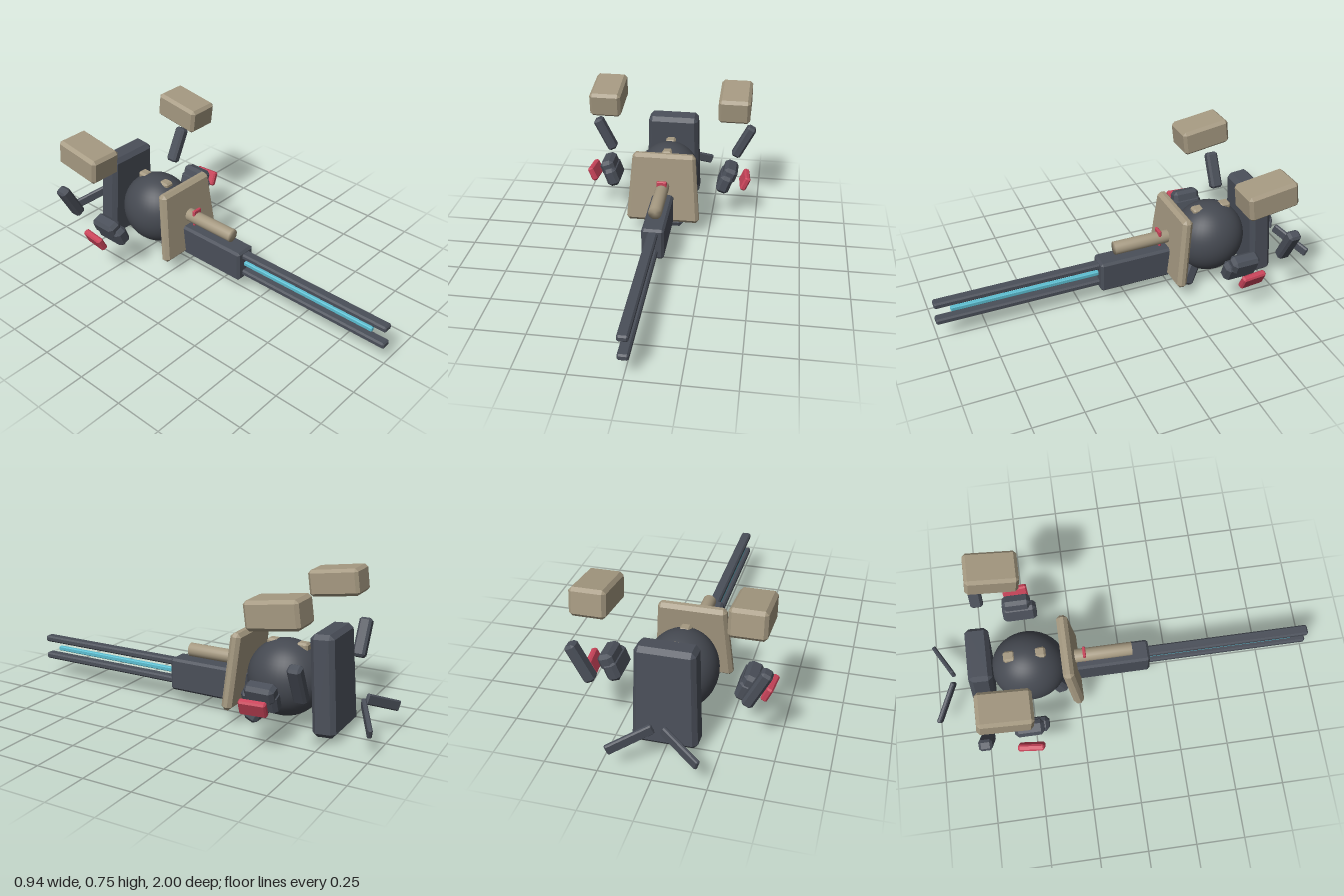
import * as THREE from 'three';
import { ConvexGeometry } from 'three/addons/geometries/ConvexGeometry.js';

function material(name, color) {
  const m = new THREE.MeshStandardMaterial({ color });
  m.name = name;
  return m;
}

// Box with chamfered edges; "top" scales the width towards the upper end
function chamferBox(w, h, d, c, top = 1) {
  const pts = [];
  for (const sx of [-1, 1]) for (const sy of [-1, 1]) for (const sz of [-1, 1]) {
    for (let full = 0; full < 3; full++) {
      const p = [w, h, d].map((s, i) => s / 2 - (i === full ? 0 : c));
      const k = THREE.MathUtils.lerp(1, top, (sy * p[1]) / h + 0.5);
      pts.push(new THREE.Vector3(sx * p[0] * k, sy * p[1], sz * p[2]));
    }
  }
  return new ConvexGeometry(pts);
}

export function createModel() {
  const model = new THREE.Group();
  model.name = 'hoverCannon';
  const slate = material('slate', 0x4a4f59);
  const darkSlate = material('darkSlate', 0x454951);
  const tan = material('tan', 0xa59981);
  const red = material('red', 0xc9445a);
  const cyan = material('cyan', 0x5cbfd2);

  function add(name, geometry, mat, pos, rot = [0, 0, 0]) {
    const mesh = new THREE.Mesh(geometry, mat);
    mesh.name = name;
    mesh.position.set(...pos);
    mesh.rotation.set(...rot);
    model.add(mesh);
    return mesh;
  }

  // Core body
  const core = add('coreSphere', new THREE.SphereGeometry(1, 40, 28), darkSlate, [0, 0.249, -0.484]);
  core.scale.set(0.177, 0.193, 0.194);
  add('backPack', chamferBox(0.31, 0.495, 0.118, 0.022, 0.9), slate, [0, 0.279, -0.729], [0.075, 0, 0]);
  add('frontShield', chamferBox(0.4, 0.39, 0.056, 0.018, 0.84), tan, [0, 0.283, -0.268], [-0.09, 0, 0]);
  add('chinBlock', chamferBox(0.205, 0.135, 0.08, 0.018, 0.75), slate, [0, 0.077, -0.355], [-0.45, 0, 0]);
  for (const z of [-0.415, -0.57]) {
    add('topStud', chamferBox(0.055, 0.05, 0.06, 0.01), tan, [0, 0.412, z]);
  }

  // Rail cannon
  add('cannonHousing', chamferBox(0.116, 0.17, 0.447, 0.012), slate, [0, 0.168, -0.077]);
  for (const y of [0.222, 0.123]) {
    add('cannonRail', chamferBox(0.053, 0.033, 0.94, 0.008), slate, [0, y, 0.53]);
  }
  add('energyRod', chamferBox(0.024, 0.024, 0.82, 0.004), cyan, [0, 0.172, 0.51]);

  // Upper barrel with soft shaded ends, and its sight plate
  const profile = [[0, -0.155], [0.035, -0.155], [0.035, 0.155], [0, 0.155]]
    .map(([r, y]) => new THREE.Vector2(r, y));
  add('upperBarrel', new THREE.LatheGeometry(profile, 24), tan, [0, 0.301, -0.1], [Math.PI / 2, 0, 0]);
  add('sightPlate', chamferBox(0.054, 0.091, 0.016, 0.004), red, [0, 0.309, -0.193]);

  // Mirrored floating parts
  for (const s of [-1, 1]) {
    const side = s > 0 ? 'left' : 'right';
    add(side + 'Pod', chamferBox(0.172, 0.137, 0.265, 0.016), tan, [s * 0.355, 0.671, -0.597], [0.14, 0, 0]);
    add(side + 'Strut', chamferBox(0.055, 0.205, 0.066, 0.012), slate, [s * 0.405, 0.377, -0.722], [0, 0, -s * 0.47]);
    add(side + 'Shoulder', chamferBox(0.078, 0.085, 0.15, 0.018), slate, [s * 0.343, 0.282, -0.515], [0, 0, -s * 0.35]);
    add(side + 'Forearm', chamferBox(0.072, 0.105, 0.18, 0.018), slate, [s * 0.318, 0.237, -0.505], [0, 0, -s * 0.35]);
    add(side + 'ArmPlate', chamferBox(0.034, 0.08, 0.132, 0.008), red, [s * 0.428, 0.235, -0.518], [0, s * 0.1, -s * 0.42]);

    // Tail fins sweep outward, back and down
    const fin = add(side + 'TailFin', chamferBox(0.225, 0.052, 0.022, 0.006), slate, [s * 0.114, 0.163, -0.939]);
    const along = new THREE.Vector3(s * 0.19, -0.08, -0.105).normalize();
    const out = new THREE.Vector3().crossVectors(along, new THREE.Vector3(0, 1, 0)).normalize();
    const up = new THREE.Vector3().crossVectors(out, along);
    fin.quaternion.setFromRotationMatrix(new THREE.Matrix4().makeBasis(along, up, out));
  }
  return model;
}
